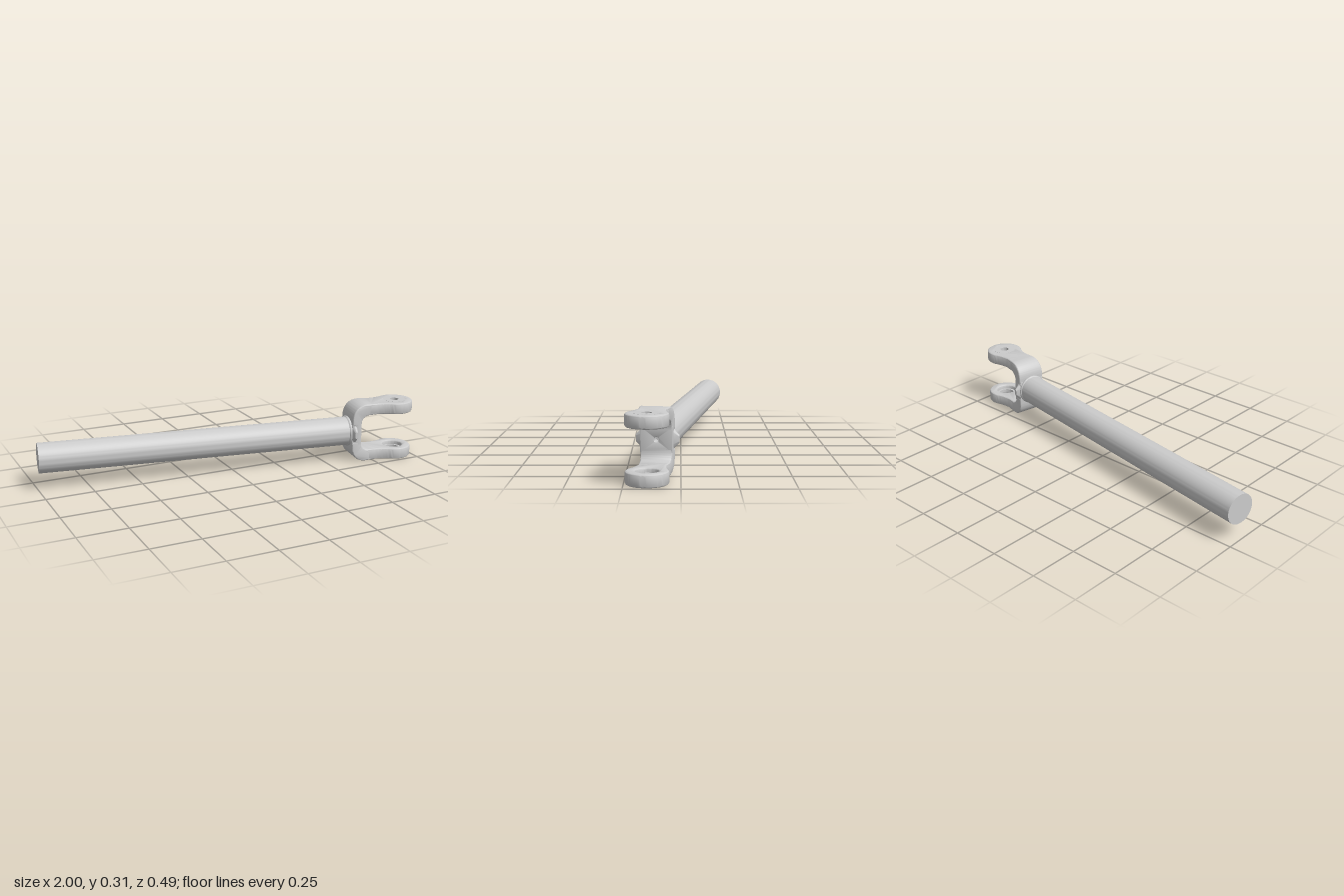
import * as THREE from 'three';
import { toCreasedNormals } from 'three/addons/utils/BufferGeometryUtils.js';

const material = new THREE.MeshStandardMaterial({ color: 0xcccccc });
const EYE_X = 0.914, EYE_R = 0.097, ARM_IN = 0.096, ARM_OUT = 0.156;

function part(name, geometry) {
  const mesh = new THREE.Mesh(toCreasedNormals(geometry, 0.6), material);
  mesh.name = name;
  return mesh;
}

// Extrusion whose bevel stays inside the outline and the depth
function slab(shape, depth, bevel) {
  return new THREE.ExtrudeGeometry(shape, {
    depth: depth - 2 * bevel, steps: 1, curveSegments: 24,
    bevelEnabled: bevel > 0, bevelSize: bevel, bevelThickness: bevel,
    bevelOffset: -bevel, bevelSegments: 4,
  }).translate(0, 0, bevel);
}

const circleHole = (x, y, r) => new THREE.Path().absarc(x, y, r, 0, Math.PI * 2, true);

// Flat arm: narrow neck flaring into a round eye
function armGeometry(holeR) {
  const s = new THREE.Shape();
  s.moveTo(0.74, -0.069);
  s.lineTo(0.785, -0.066);
  s.quadraticCurveTo(0.82, -0.066, EYE_X - EYE_R * Math.sin(0.55), -EYE_R * Math.cos(0.55));
  s.absarc(EYE_X, 0, EYE_R, -Math.PI / 2 - 0.55, Math.PI / 2 + 0.55, false);
  s.quadraticCurveTo(0.82, 0.066, 0.785, 0.066);
  s.lineTo(0.74, 0.069);
  s.closePath();
  s.holes.push(circleHole(EYE_X, 0, holeR));
  return slab(s, ARM_OUT - ARM_IN, 0.01).rotateX(-Math.PI / 2).translate(0, ARM_IN, 0);
}

// Ledge inside an eye, leaving a smaller opening
function ledgeGeometry(inner, outer, y0, y1) {
  const s = new THREE.Shape().absarc(EYE_X, 0, outer, 0, Math.PI * 2, false);
  s.holes.push(circleHole(EYE_X, 0, inner));
  return slab(s, y1 - y0, 0).rotateX(-Math.PI / 2).translate(0, y0, 0);
}

// Curved shoulder joining the web to an arm, narrowing toward the arm
function shoulderGeometry() {
  const s = new THREE.Shape();
  s.moveTo(0.647, 0.045);
  s.lineTo(0.647, 0.075);
  s.bezierCurveTo(0.65, 0.125, 0.68, 0.156, 0.73, 0.157);
  s.lineTo(0.79, 0.155);
  s.lineTo(0.79, 0.097);
  s.lineTo(0.745, 0.096);
  s.quadraticCurveTo(0.702, 0.093, 0.699, 0.045);
  s.closePath();
  const g = slab(s, 0.15, 0.007).translate(0, 0, -0.075);
  const p = g.attributes.position;
  for (let i = 0; i < p.count; i++) {
    const t = THREE.MathUtils.clamp((p.getX(i) - 0.65) / 0.13, 0, 1);
    p.setZ(i, p.getZ(i) * (1.04 - 0.17 * t));
  }
  return g;
}

// Web across the fork with a small centre hole
function webGeometry() {
  const s = new THREE.Shape();
  s.moveTo(-0.075, -0.06);
  s.lineTo(0.075, -0.06);
  s.lineTo(0.075, 0.06);
  s.lineTo(-0.075, 0.06);
  s.closePath();
  s.holes.push(circleHole(0, 0, 0.012));
  return slab(s, 0.053, 0.003).rotateY(Math.PI / 2).translate(0.646, 0, 0);
}

export function createModel() {
  const model = new THREE.Group();
  model.name = 'forkedRod';

  // Long round rod
  const rod = new THREE.CylinderGeometry(0.0765, 0.0765, 1.648, 64).rotateZ(Math.PI / 2);
  model.add(part('rod', rod.translate(-0.176, 0, 0)));

  // Weld bead where rod meets fork
  const bead = new THREE.TorusGeometry(0.069, 0.012, 12, 48).rotateY(Math.PI / 2);
  model.add(part('weldBead', bead.translate(0.642, 0, 0)));

  // Fork
  const fork = new THREE.Group();
  fork.name = 'fork';
  fork.add(part('web', webGeometry()));
  for (const [side, turn, holeR] of [['upper', 0, 0.046], ['lower', Math.PI, 0.052]]) {
    const half = new THREE.Group();
    half.name = side + 'Arm';
    half.add(part(side + 'Shoulder', shoulderGeometry()));
    half.add(part(side + 'Eye', armGeometry(holeR)));
    half.add(part(side + 'EyeLedge', turn
      ? ledgeGeometry(0.04, 0.056, 0.118, 0.134)
      : ledgeGeometry(0.023, 0.06, 0.13, 0.1565)));
    half.rotation.x = turn;
    fork.add(half);
  }

  // Flattened side bosses on the fork base
  for (const sign of [1, -1]) {
    const boss = new THREE.CylinderGeometry(0.019, 0.052, 0.032, 24)
      .scale(0.4, 1, 1)
      .rotateX(sign * Math.PI / 2)
      .translate(0.661, 0, sign * 0.084);
    fork.add(part('sideBoss', boss));
  }
  model.add(fork);

  // Rod swings slightly toward the front at the fork end
  model.rotation.y = -THREE.MathUtils.degToRad(9.5);
  model.position.set(0, 0.157, -0.004);
  const root = new THREE.Group();
  root.name = 'forkedRodAssembly';
  root.add(model);
  return root;
}
